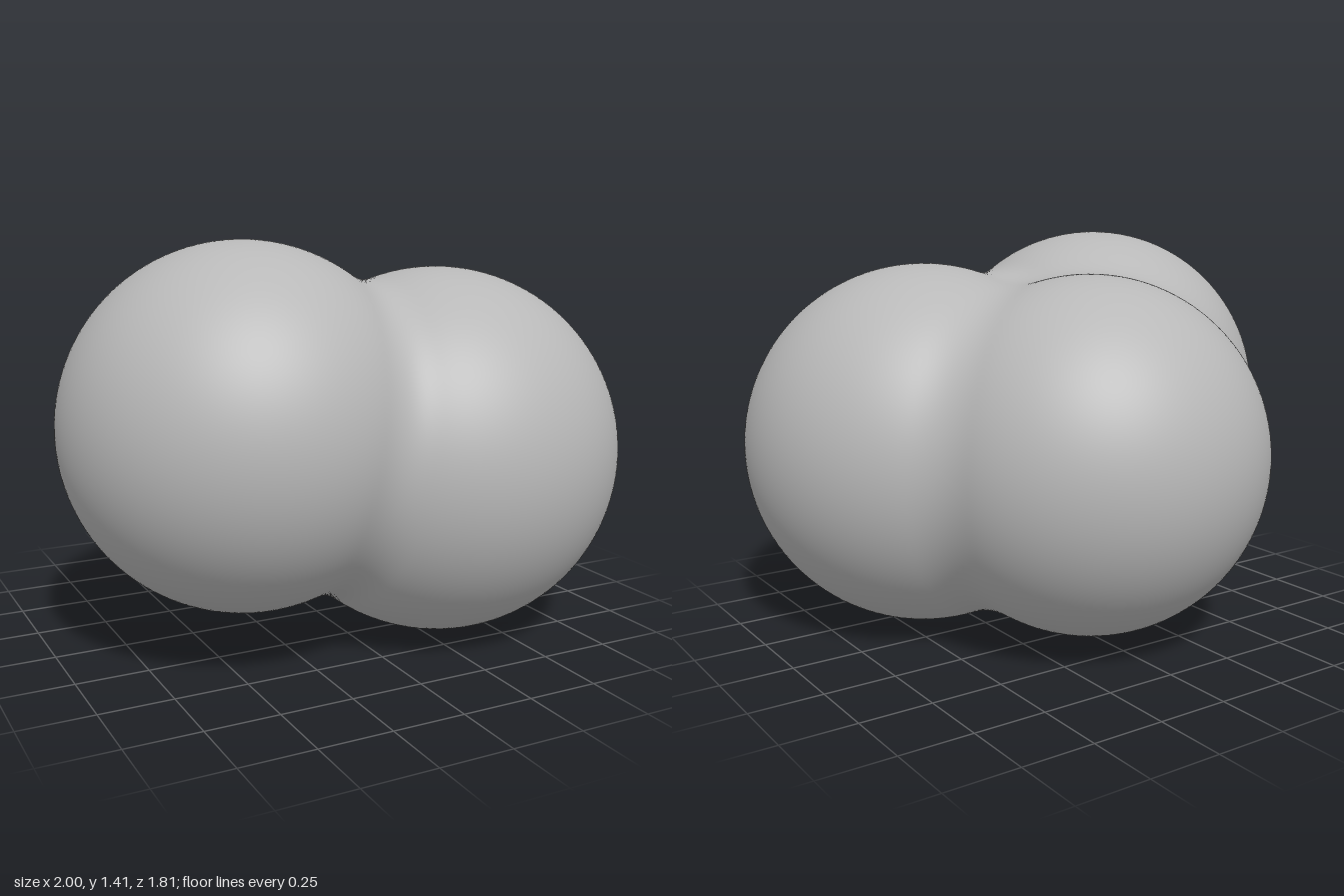
import * as THREE from 'three';
import { mergeVertices } from 'three/addons/utils/BufferGeometryUtils.js';

// Three overlapping lobes, merged by a narrow smooth fillet
const lobes = [
  { center: new THREE.Vector3(-0.375, 0.79, 0.195), radius: 0.625 }, // front right
  { center: new THREE.Vector3(0.347, 0.658, 0.25), radius: 0.653 },  // front left
  { center: new THREE.Vector3(-0.01, 0.658, -0.28), radius: 0.628 }, // back
];
const core = new THREE.Vector3(-0.01, 0.7, 0.05); // lies inside every lobe
const blend = 0.1;

function smoothMin(a, b) {
  const h = Math.max(blend - Math.abs(a - b), 0) / blend;
  return Math.min(a, b) - h * h * blend / 4;
}

function distance(p) {
  return lobes.map(l => p.distanceTo(l.center) - l.radius).reduce(smoothMin);
}

// Push each vertex of a unit sphere out from the core to the blended surface
function blendedGeometry() {
  let geo = new THREE.IcosahedronGeometry(1, 36);
  geo.deleteAttribute('uv');
  geo.deleteAttribute('normal');
  geo = mergeVertices(geo, 1e-5);
  const pos = geo.attributes.position;
  const dir = new THREE.Vector3();
  const p = new THREE.Vector3();
  for (let i = 0; i < pos.count; i++) {
    dir.fromBufferAttribute(pos, i).normalize();
    let near = 0, far = 2;
    for (let step = 0; step < 26; step++) {
      const mid = (near + far) / 2;
      p.copy(core).addScaledVector(dir, mid);
      if (distance(p) < 0) near = mid;
      else far = mid;
    }
    pos.setXYZ(i, p.x, p.y, p.z);
  }
  geo.computeVertexNormals();
  return geo;
}

export function createModel() {
  const grey = new THREE.MeshStandardMaterial({ color: 0xb8b8b8 });
  grey.name = 'grey';
  const body = new THREE.Mesh(blendedGeometry(), grey);
  body.name = 'blendedLobes';
  const group = new THREE.Group();
  group.name = 'threeLobedBody';
  group.add(body);
  return group;
}
